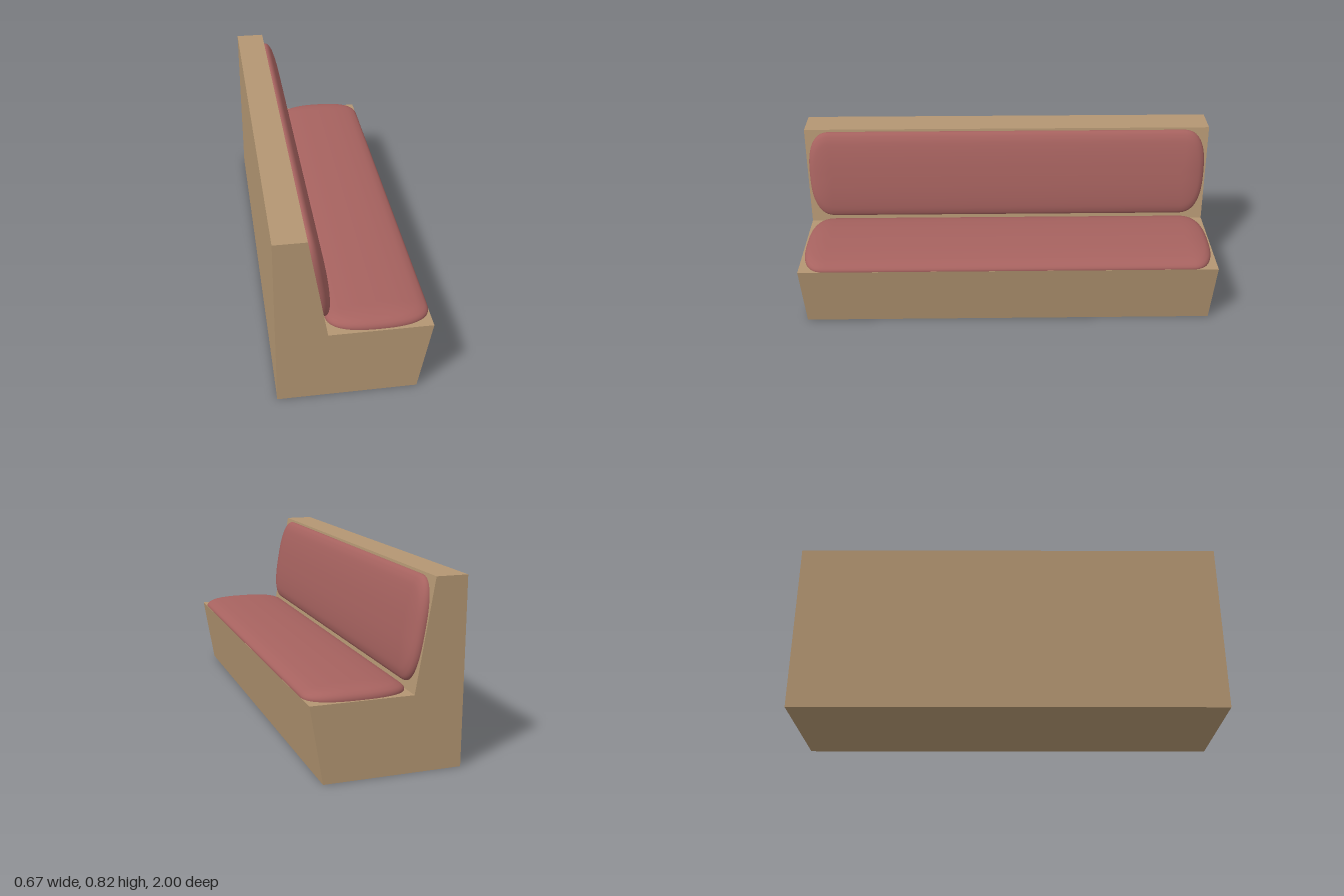
import * as THREE from 'three';

const wood = new THREE.MeshStandardMaterial({ color: 0xb39672 });
const fabric = new THREE.MeshStandardMaterial({ color: 0xa6625f, side: THREE.DoubleSide });

// Domed pad lying on y = 0: rounded-rectangle rings that shrink as they rise.
function cushionGeometry(halfWidth, halfLength, cap) {
  const profile = new THREE.SplineCurve([
    [1, -0.002], [0.998, 0.008], [0.965, 0.018], [0.9, 0.0265], [0.78, 0.035],
    [0.55, 0.042], [0.28, 0.046], [0, 0.047],
  ].map(([s, h]) => new THREE.Vector2(s, h))).getPoints(28);
  const steps = 32, count = 2 * (steps + 1), power = 2 / 2.6;
  const round = (v) => Math.sign(v) * Math.abs(v) ** power;
  const positions = [], index = [];
  profile.forEach(({ x: s, y: h }, ring) => {
    for (const end of [1, -1]) {
      for (let i = 0; i <= steps; i++) {
        const a = (i / steps) * Math.PI;
        positions.push(
          end * halfWidth * s * round(Math.cos(a)),
          h,
          end * (halfLength - cap + cap * s * round(Math.max(0, Math.sin(a)))),
        );
      }
    }
    if (ring === 0) return;
    for (let i = 0; i < count; i++) {
      const j = (i + 1) % count, a = (ring - 1) * count, b = ring * count;
      index.push(a + i, b + i, a + j, b + i, b + j, a + j);
    }
  });
  const geometry = new THREE.BufferGeometry();
  geometry.setAttribute('position', new THREE.Float32BufferAttribute(positions, 3));
  geometry.setIndex(index);
  geometry.computeVertexNormals();
  return geometry;
}

export function createModel() {
  const bench = new THREE.Group();
  bench.name = 'bench';

  // Solid frame: side profile extruded along the length
  const side = new THREE.Shape([
    [-0.334, 0], [0.275, 0], [0.332, 0.335], [-0.115, 0.335], [-0.195, 0.817], [-0.334, 0.817],
  ].map(([x, y]) => new THREE.Vector2(x, y)));
  const frameGeometry = new THREE.ExtrudeGeometry(side, { depth: 2, bevelEnabled: false });
  frameGeometry.translate(0, 0, -1);
  const frame = new THREE.Mesh(frameGeometry, wood);
  frame.name = 'frame';

  // Matching cushions on the seat and on the sloped backrest
  const pad = cushionGeometry(0.2225, 0.99, 0.12);
  const seat = new THREE.Mesh(pad, fabric);
  seat.name = 'seatCushion';
  seat.position.set(0.109, 0.335, 0);

  const back = new THREE.Mesh(pad, fabric);
  back.name = 'backCushion';
  back.position.set(-0.1567, 0.586, 0);
  back.rotation.z = Math.atan2(0.08, 0.482) - Math.PI / 2;
  
  bench.add(frame, seat, back);
  return bench;
}
